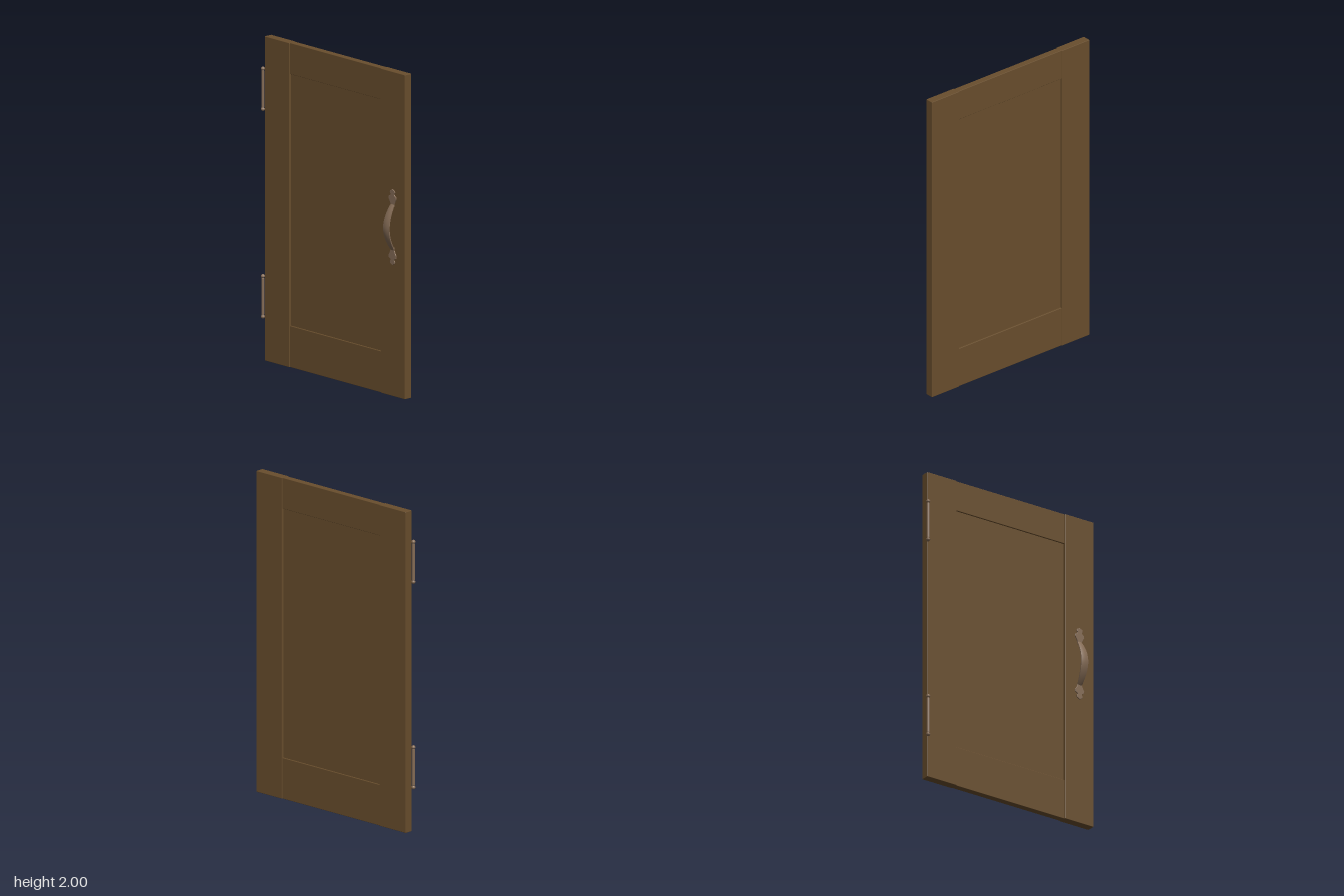
import * as THREE from 'three';
import { RoundedBoxGeometry } from 'three/addons/geometries/RoundedBoxGeometry.js';

export function createModel() {
  const model = new THREE.Group();
  model.name = 'cabinetDoor';
  const wood = new THREE.MeshStandardMaterial({ name: 'darkWood', color: 0x694e2d });
  const metal = new THREE.MeshStandardMaterial({ name: 'agedBronze', color: 0x856c56 });

  const add = (parent, name, geometry, material, x = 0, y = 0, z = 0) => {
    const mesh = new THREE.Mesh(geometry, material);
    mesh.name = name;
    mesh.position.set(x, y, z);
    parent.add(mesh);
    return mesh;
  };

  // Board given by its limits, with slightly eased edges
  const board = (name, x0, x1, y0, y1, z0, z1) => add(model, name,
    new RoundedBoxGeometry(x1 - x0, y1 - y0, z1 - z0, 2, 0.003), wood,
    (x0 + x1) / 2, (y0 + y1) / 2, (z0 + z1) / 2);

  // Frame and recessed panel
  board('rightStile', -0.605, -0.39, 0, 2, -0.058, -0.005);
  board('leftStile', 0.405, 0.615, 0, 2, -0.058, -0.005);
  board('bottomRail', -0.395, 0.41, 0, 0.255, -0.053, -0.011);
  board('topRail', -0.395, 0.41, 1.807, 2, -0.053, -0.011);
  board('panel', -0.4, 0.415, 0.245, 1.817, -0.045, -0.019);

  // Hinge barrels with a collar and a rounded finial at each end
  const half = [[0.0095, 0.112], [0.007, 0.113], [0.007, 0.116], [0.0105, 0.118],
    [0.0125, 0.123], [0.0125, 0.127], [0.0095, 0.133], [0.005, 0.136], [0, 0.137]];
  const profile = [...half.map(([r, y]) => [r, -y]).reverse(), ...half]
    .map(([r, y]) => new THREE.Vector2(r, y));
  for (const [name, y] of [['lowerHinge', 0.397], ['upperHinge', 1.677]]) {
    add(model, name, new THREE.LatheGeometry(profile, 20), metal, -0.608, y, 0.006);
  }

  // Pull handle: two leaf-shaped mounting plates
  const handle = new THREE.Group();
  handle.name = 'handle';
  handle.position.set(0.51, 1.043, 0);
  model.add(handle);
  const outline = [[0.013, 0.125], [0.017, 0.145], [0.024, 0.16], [0.033, 0.175], [0.031, 0.19],
    [0.019, 0.196], [0.015, 0.203], [0.022, 0.213], [0.019, 0.224], [0.008, 0.23], [0, 0.235]];
  const leaf = new THREE.Shape([...outline, ...outline.slice(0, -1).reverse().map(([x, y]) => [-x, y])]
    .map(([x, y]) => new THREE.Vector2(x, y)));
  const plate = new THREE.ExtrudeGeometry(leaf, {
    depth: 0.005, bevelEnabled: true, bevelThickness: 0.002, bevelSize: 0.002,
    bevelOffset: -0.002, bevelSegments: 2,
  });
  add(handle, 'upperPlate', plate, metal, 0, 0, -0.006);
  add(handle, 'lowerPlate', plate, metal, 0, 0, -0.006).rotation.z = Math.PI;

  // Bowed strap, wide in the middle and narrow at both necks
  const strap = new THREE.BoxGeometry(1, 0.284, 0.007, 6, 40, 1);
  const p = strap.attributes.position;
  for (let i = 0; i < p.count; i++) {
    const t = Math.min(1, Math.abs(p.getY(i)) / 0.142);
    const u = p.getX(i) * 2;
    const width = 0.015 + 0.010 * (1 - t * t);
    const bow = 0.053 * (1 - t ** 1.9) - 0.002;
    const crown = -0.003 * u * u;
    p.setXYZ(i, u * width, p.getY(i), bow + crown + p.getZ(i));
  }
  strap.computeVertexNormals();
  add(handle, 'strap', strap, metal);

  return model;
}
